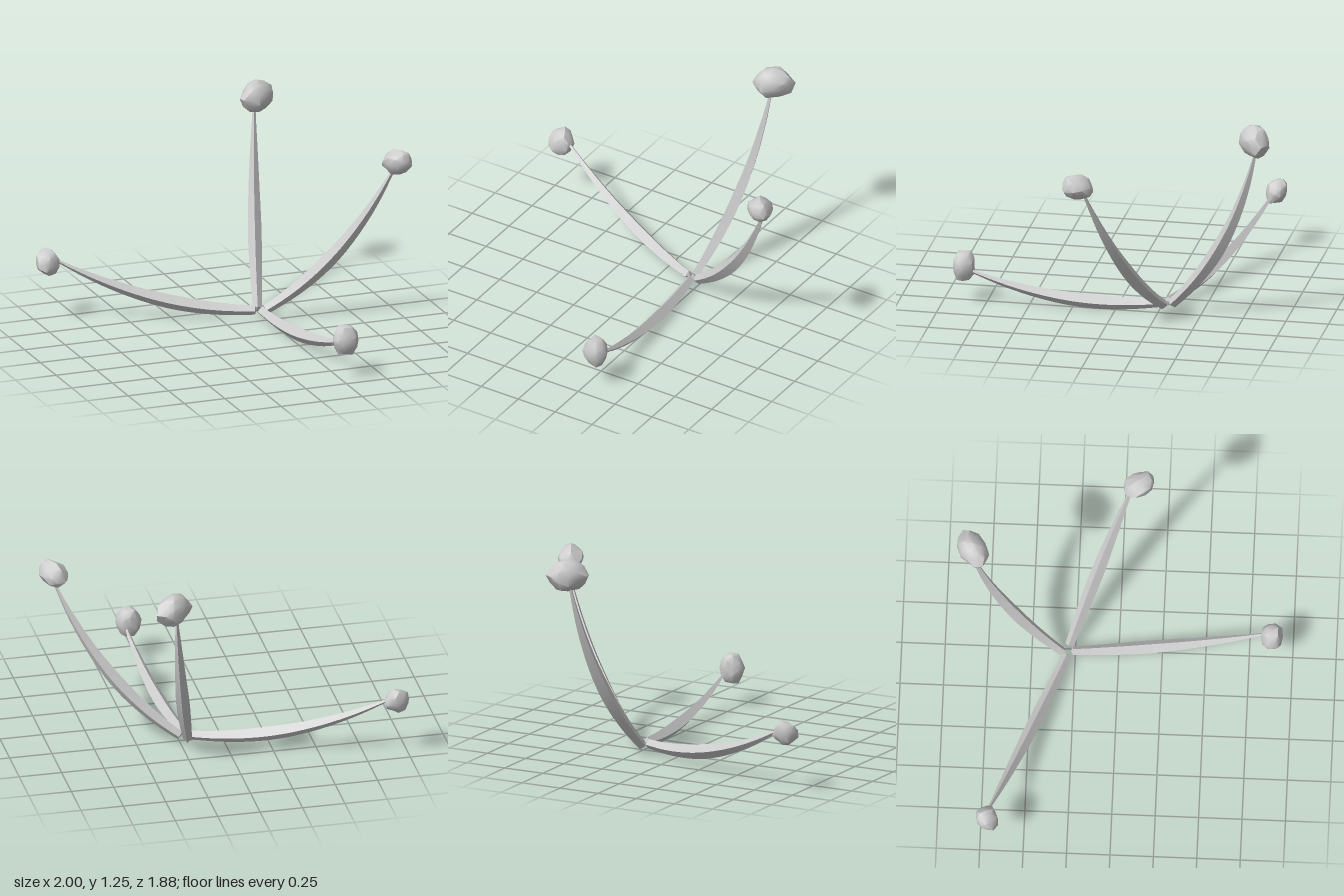
import * as THREE from 'three';
import { mergeVertices, toCreasedNormals } from 'three/addons/utils/BufferGeometryUtils.js';

const material = new THREE.MeshStandardMaterial({ color: 0xcccccc });

// Each branch: root, control point and tip of its arc, then its bud's centre, full size, rotation and seed
const BRANCHES = [
  { name: 'right', path: [[0.19, 0.06, -0.297], [-0.34, 0.05, -0.505], [-0.88, 0.365, -0.705]],
    bud: [-0.928, 0.36, -0.71], size: [0.145, 0.17, 0.125], turn: [-0.5, 0, 0], seed: 3 },
  { name: 'back', path: [[0.217, 0.055, -0.325], [0.34, 0.45, -0.715], [0.402, 1.1, -0.855]],
    bud: [0.422, 1.16, -0.85], size: [0.25, 0.195, 0.16], turn: [0, 0.52, 0], seed: 11 },
  { name: 'left', path: [[0.255, 0.06, -0.285], [0.675, 0.34, -0.122], [0.915, 0.94, 0.05]],
    bud: [0.914, 0.99, 0.087], size: [0.195, 0.155, 0.15], turn: [0, -1.05, 0.3], seed: 23 },
  { name: 'front', path: [[0.22, 0.06, -0.265], [0.28, -0.002, 0.29], [0.315, 0.21, 0.84]],
    bud: [0.292, 0.232, 0.88], size: [0.155, 0.175, 0.125], turn: [0, 0, 0], seed: 37 },
];

// Half-thickness along a branch: blunt root, fullest near a fifth, thin tip
const profile = new THREE.SplineCurve(
  [[0, 0.029], [0.06, 0.038], [0.2, 0.043], [0.5, 0.035], [0.75, 0.023], [1, 0.009]]
    .map(([t, r]) => new THREE.Vector2(t, r)));

// Curved branch with a diamond cross-section
function branchGeometry(points) {
  const curve = new THREE.QuadraticBezierCurve3(...points.map(p => new THREE.Vector3(...p)));
  const rings = 24, up = new THREE.Vector3(0, 1, 0);
  const pos = [], index = [];
  for (let i = 0; i <= rings; i++) {
    const u = i / rings;
    const c = curve.getPointAt(u), t = curve.getTangentAt(u);
    const side = up.clone().cross(t).normalize();
    const rise = t.clone().cross(side);
    const r = profile.getPoint(u).y;
    for (let k = 0; k < 4; k++) {
      const a = k * Math.PI / 2;
      const p = c.clone().addScaledVector(side, Math.cos(a) * r * 0.92).addScaledVector(rise, Math.sin(a) * r);
      pos.push(p.x, p.y, p.z);
    }
    if (i === rings) continue;
    for (let k = 0; k < 4; k++) {
      const a = i * 4 + k, b = i * 4 + (k + 1) % 4;
      index.push(a, b, b + 4, a, b + 4, a + 4);
    }
  }
  // Root and tip caps, the root slightly pointed
  const first = curve.getPointAt(0).addScaledVector(curve.getTangentAt(0), -0.01);
  const last = curve.getPointAt(1);
  const root = pos.length / 3, end = rings * 4;
  pos.push(...first.toArray(), ...last.toArray());
  for (let k = 0; k < 4; k++) {
    const n = (k + 1) % 4;
    index.push(root, n, k, root + 1, end + k, end + n);
  }
  const geo = new THREE.BufferGeometry();
  geo.setAttribute('position', new THREE.Float32BufferAttribute(pos, 3));
  geo.setIndex(index);
  return toCreasedNormals(geo, 0.6);
}

// Lumpy faceted bud scaled to a given size
function budGeometry(size, seed) {
  let state = seed;
  const random = () => (state = (state * 16807) % 2147483647) / 2147483647;
  for (let i = 0; i < 5; i++) random();
  let geo = new THREE.IcosahedronGeometry(1, 1);
  geo.deleteAttribute('normal');
  geo.deleteAttribute('uv');
  geo = mergeVertices(geo, 1e-3);
  const p = geo.attributes.position;
  for (let i = 0; i < p.count; i++) {
    const s = 0.87 + 0.22 * random();
    p.setXYZ(i, p.getX(i) * s, p.getY(i) * s, p.getZ(i) * s);
  }
  geo.center();
  geo.computeBoundingBox();
  const d = geo.boundingBox.getSize(new THREE.Vector3());
  geo.scale(size[0] / d.x, size[1] / d.y, size[2] / d.z);
  return toCreasedNormals(geo, 0.75);
}

export function createModel() {
  const model = new THREE.Group();
  model.name = 'buddedBranches';
  for (const b of BRANCHES) {
    const stem = new THREE.Mesh(branchGeometry(b.path), material);
    stem.name = b.name + 'Branch';
    const bud = new THREE.Mesh(budGeometry(b.size, b.seed), material);
    bud.name = b.name + 'Bud';
    bud.position.set(...b.bud);
    bud.rotation.set(...b.turn);
    model.add(stem, bud);
  }
  return model;
}
